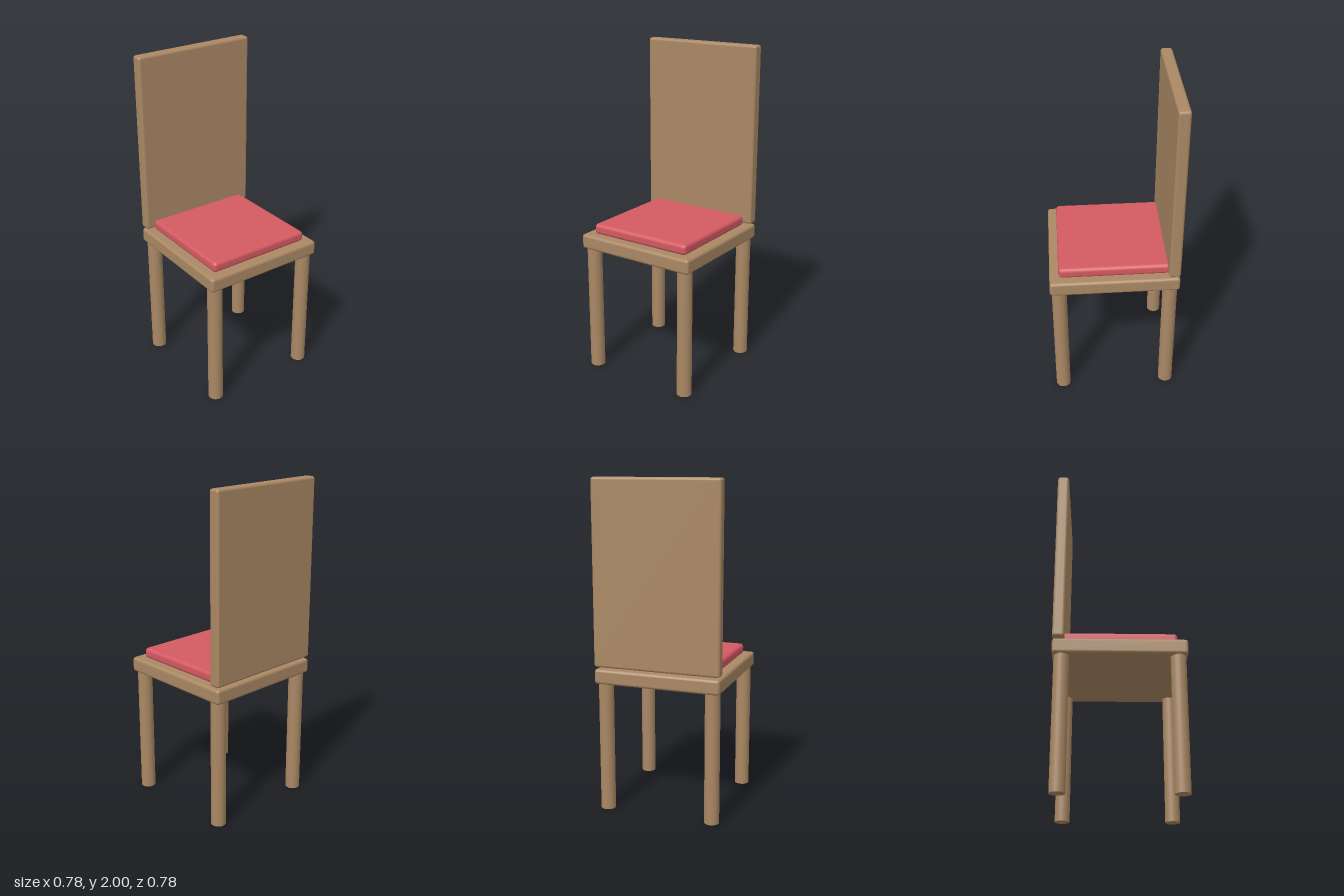
import * as THREE from 'three';
import { RoundedBoxGeometry } from 'three/addons/geometries/RoundedBoxGeometry.js';

export function createModel() {
  const group = new THREE.Group();
  group.name = 'chair';

  const wood = new THREE.MeshStandardMaterial({ color: 0xaa8864 });
  wood.name = 'wood';
  const fabric = new THREE.MeshStandardMaterial({ color: 0xd45a62 });
  fabric.name = 'red fabric';

  // Softly bevelled slab given by its extents
  function slab(name, material, [x0, x1], [y0, y1], [z0, z1], bevel) {
    const geometry = new RoundedBoxGeometry(x1 - x0, y1 - y0, z1 - z0, 2, bevel);
    const mesh = new THREE.Mesh(geometry, material);
    mesh.name = name;
    mesh.position.set((x0 + x1) / 2, (y0 + y1) / 2, (z0 + z1) / 2);
    group.add(mesh);
  }

  slab('seat', wood, [-0.388, 0.388], [0.793, 0.884], [-0.388, 0.388], 0.018);
  slab('backrest', wood, [-0.388, 0.388], [0.896, 2], [-0.388, -0.318], 0.016);
  slab('cushion', fabric, [-0.333, 0.333], [0.88, 0.946], [-0.333, 0.333], 0.022);

  // Four round legs
  const legHeight = 0.8;
  const legGeometry = new THREE.CylinderGeometry(0.045, 0.045, legHeight, 24);
  for (const [z, end] of [[0.333, 'front'], [-0.333, 'back']]) {
    for (const [x, side] of [[0.333, 'Left'], [-0.333, 'Right']]) {
      const leg = new THREE.Mesh(legGeometry, wood);
      leg.name = `${end}${side}Leg`;
      leg.position.set(x, legHeight / 2, z);
      group.add(leg);
    }
  }

  return group;
}
